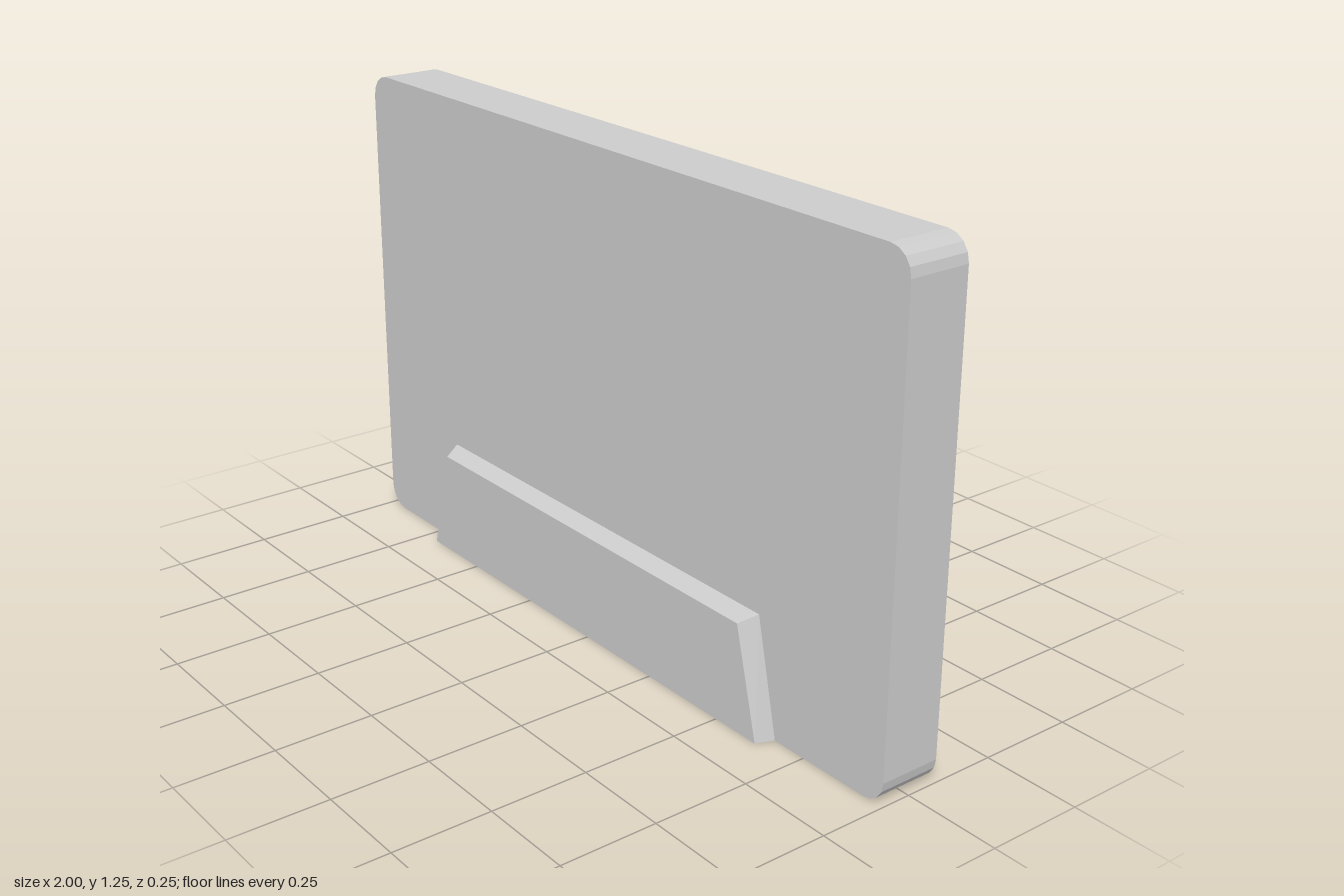
import * as THREE from 'three';

const material = new THREE.MeshStandardMaterial({ color: 0xcccccc, flatShading: true, side: THREE.DoubleSide });
const HALF_Z = 0.08, DOCK_Z = 0.125, HEIGHT = 1.25, RADIUS = 0.06;

// Dock outline, where it meets the panel and on its outer face
const dockInner = [[-0.715, 0], [-0.65, 0.295], [0.59, 0.295], [0.655, 0]];
const dockOuter = [[-0.70, 0], [-0.63, 0.277], [0.567, 0.277], [0.637, 0]];

function named(name, geometry) {
  const mesh = new THREE.Mesh(geometry, material);
  mesh.name = name;
  return mesh;
}

const toShape = (points) => new THREE.Shape(points.map(([x, y]) => new THREE.Vector2(x, y)));

// Row of quads joining path a at depth za to path b at depth zb
function strip(a, za, b, zb) {
  const positions = [];
  for (let i = 0; i < a.length - 1; i++) {
    const p = [...a[i], za], q = [...b[i], zb], r = [...b[i + 1], zb], s = [...a[i + 1], za];
    positions.push(...p, ...q, ...r, ...p, ...r, ...s);
  }
  const geometry = new THREE.BufferGeometry();
  geometry.setAttribute('position', new THREE.Float32BufferAttribute(positions, 3));
  geometry.computeVertexNormals();
  return geometry;
}

// Rounded panel edge, running from one foot of the dock round to the other
function panelEdge() {
  const path = [dockInner[3]];
  const steps = 4;
  const corners = [[1, 0], [1, 1], [-1, 1], [-1, 0]];
  corners.forEach(([sx, top], c) => {
    const cx = sx * (1 - RADIUS), cy = top ? HEIGHT - RADIUS : RADIUS;
    for (let i = 0; i <= steps; i++) {
      const angle = (c - 1 + i / steps) * Math.PI / 2;
      path.push([cx + RADIUS * Math.cos(angle), cy + RADIUS * Math.sin(angle)]);
    }
  });
  path.push(dockInner[0]);
  return path;
}

// Front half of the shell: panel face cut out round the raised dock
function createSide(name, edge) {
  const side = new THREE.Group();
  side.name = name;
  const face = new THREE.ShapeGeometry(toShape([...edge, dockInner[1], dockInner[2]]));
  side.add(named('panelFace', face.translate(0, 0, HALF_Z)));
  side.add(named('dockBevel', strip(dockInner, HALF_Z, dockOuter, DOCK_Z)));
  const plate = new THREE.ShapeGeometry(toShape(dockOuter));
  side.add(named('dockFace', plate.translate(0, 0, DOCK_Z)));
  return side;
}

// Underside of the dock with five port openings into the hollow shell
function createBase() {
  const [l, r] = [dockInner[0][0], dockInner[3][0]];
  const [lo, ro] = [dockOuter[0][0], dockOuter[3][0]];
  const shape = toShape([
    [lo, -DOCK_Z], [ro, -DOCK_Z], [r, -HALF_Z], [r, HALF_Z],
    [ro, DOCK_Z], [lo, DOCK_Z], [l, HALF_Z], [l, -HALF_Z],
  ]);
  const ports = [[-0.70, -0.43], [-0.365, -0.24], [-0.18, 0.12], [0.175, 0.305], [0.365, 0.635]];
  for (const [x0, x1] of ports) {
    const z = 0.077;
    shape.holes.push(toShape([[x0, -z], [x0, z], [x1, z], [x1, -z]]));
  }
  return named('dockBase', new THREE.ShapeGeometry(shape).rotateX(Math.PI / 2));
}

export function createModel() {
  const model = new THREE.Group();
  model.name = 'dockedPanel';
  const edge = panelEdge();
  model.add(named('panelRim', strip(edge, HALF_Z, edge, -HALF_Z)));
  model.add(createSide('frontSide', edge));
  const back = createSide('backSide', edge);
  back.scale.z = -1;
  model.add(back);
  model.add(createBase());
  return model;
}
